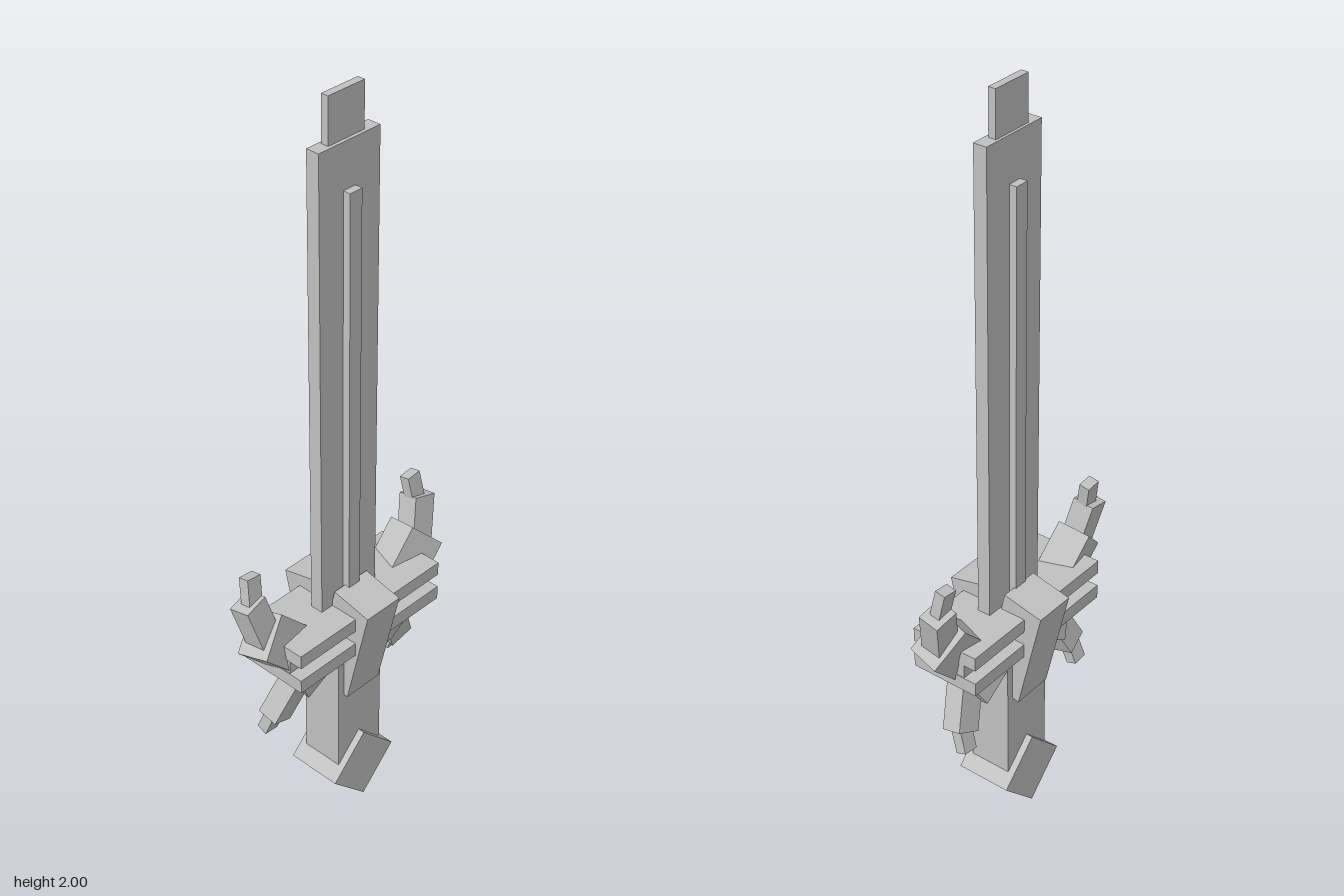
import * as THREE from 'three';

export function createModel() {
  const model = new THREE.Group();
  model.name = 'sword';
  const grey = new THREE.MeshStandardMaterial({ color: 0xc0c0c0 });
  grey.name = 'steel grey';

  const add = (name, w, h, d, x, y, z, parent = model) => {
    const mesh = new THREE.Mesh(new THREE.BoxGeometry(w, h, d), grey);
    mesh.name = name;
    mesh.position.set(x, y, z);
    parent.add(mesh);
    return mesh;
  };

  // Box running from a to b; its width lies along the hint direction
  const beam = (name, a, b, w, d, hint, side, parent) => {
    const flip = (p) => new THREE.Vector3(p[0], p[1], p[2] * side);
    const start = flip(a), end = flip(b);
    const axis = end.clone().sub(start);
    const length = axis.length();
    axis.normalize();
    const u = flip(hint);
    u.addScaledVector(axis, -u.dot(axis)).normalize();
    const v = new THREE.Vector3().crossVectors(u, axis);
    const mid = start.add(end).multiplyScalar(0.5);
    const mesh = add(name, w, length, d, mid.x, mid.y, mid.z, parent);
    mesh.quaternion.setFromRotationMatrix(new THREE.Matrix4().makeBasis(u, axis, v));
  };

  // Blade
  add('blade', 0.036, 1.285, 0.19, 0.004, 1.2425, -0.002);
  add('bladeTip', 0.02, 0.16, 0.112, 0.003, 1.92, -0.001);
  add('bladeRidge', 0.076, 1.17, 0.038, 0.004, 1.185, -0.001);

  // Grip and diamond pommel
  add('grip', 0.115, 0.455, 0.154, 0.003, 0.3725, -0.001);
  const pommel = add('pommel', 0.152, 0.152, 0.152, 0.003, 0.1115, 0);
  pommel.rotation.x = Math.PI / 4;

  // Guard: two plates around a narrower core
  add('upperGuardPlate', 0.19, 0.038, 0.494, 0.005, 0.626, -0.001);
  add('lowerGuardPlate', 0.19, 0.038, 0.494, 0.005, 0.549, -0.001);
  add('guardCore', 0.115, 0.06, 0.49, 0.003, 0.588, -0.001);

  // Slanted braces on both faces
  for (const s of [-1, 1]) {
    const brace = add('brace', 0.113, 0.3, 0.114, s * 0.051, 0.533, -0.001);
    brace.rotation.z = -s * 0.225;
  }

  // Jointed horns above and below each end of the guard
  for (const side of [1, -1]) {
    const upper = new THREE.Group();
    upper.name = 'upperHorn';
    beam('hornBase', [0.003, 0.557, 0.161], [-0.003, 0.677, 0.28], 0.088, 0.117, [0.97, 0.175, -0.175], side, upper);
    beam('hornMiddle', [0, 0.655, 0.268], [-0.021, 0.775, 0.299], 0.058, 0.066, [1, 0.18, -0.05], side, upper);
    beam('hornTip', [-0.016, 0.755, 0.289], [-0.031, 0.84, 0.28], 0.029, 0.042, [1, 0.18, -0.02], side, upper);

    const lower = new THREE.Group();
    lower.name = 'lowerHorn';
    beam('hornBase', [0.008, 0.55, 0.047], [0.003, 0.47, 0.185], 0.088, 0.124, [0.97, -0.2, -0.15], side, lower);
    beam('hornMiddle', [0.008, 0.48, 0.168], [-0.02, 0.368, 0.222], 0.056, 0.068, [1, -0.24, -0.05], side, lower);
    beam('hornTip', [-0.018, 0.385, 0.219], [-0.042, 0.317, 0.226], 0.03, 0.042, [1, -0.3, 0], side, lower);
    model.add(upper, lower);
  }
  return model;
}
